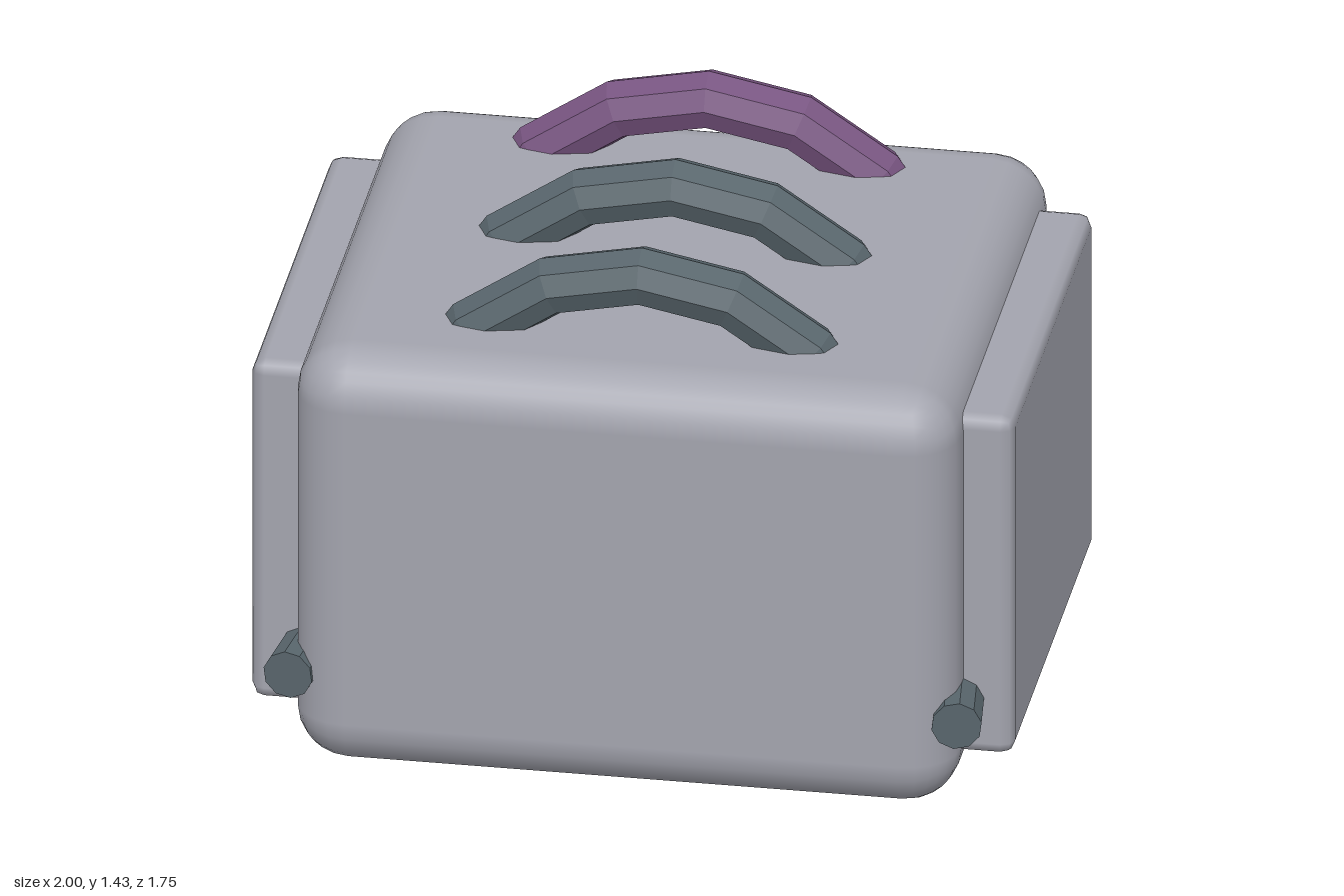
import * as THREE from 'three';
import { RoundedBoxGeometry } from 'three/addons/geometries/RoundedBoxGeometry.js';

const mat = (name, color, flatShading = false) => {
  const m = new THREE.MeshStandardMaterial({ color, flatShading });
  m.name = name;
  return m;
};

export function createModel() {
  const group = new THREE.Group();
  const grey = mat('light grey', 0xa3a4ae);
  const slate = mat('slate', 0x58656c, true);
  const slateSmooth = slate.clone();
  slateSmooth.flatShading = false;
  const purple = mat('purple', 0x775480, true);

  const add = (name, geometry, material, x, y, z) => {
    const mesh = new THREE.Mesh(geometry, material);
    mesh.name = name;
    mesh.position.set(x, y, z);
    group.add(mesh);
    return mesh;
  };

  // rounded body
  add('body', new RoundedBoxGeometry(1.74, 1.19, 1.59, 3, 0.145), grey, 0, 0.595, 0.075);

  // raised side panels
  const panel = new RoundedBoxGeometry(0.3, 0.975, 1.235, 1, 0.035);
  add('leftPanel', panel, grey, 0.85, 0.5975, 0.0775);
  add('rightPanel', panel, grey, -0.85, 0.5975, 0.0775);

  // raised back panel
  add('backPanel', new RoundedBoxGeometry(1.18, 0.665, 0.3, 1, 0.035), slateSmooth, 0, 0.5975, -0.725);

  // splayed rods running through the lower body, front to back
  for (const side of [1, -1]) {
    const front = new THREE.Vector3(side * 0.877, 0.265, 0.843);
    const back = new THREE.Vector3(side * 0.677, 0.265, -0.777);
    const axis = front.clone().sub(back);
    const mid = front.clone().add(back).multiplyScalar(0.5);
    const rod = add(side > 0 ? 'leftRod' : 'rightRod',
      new THREE.CylinderGeometry(0.066, 0.066, axis.length(), 10), slate, mid.x, mid.y, mid.z);
    rod.quaternion.setFromUnitVectors(new THREE.Vector3(0, 1, 0), axis.normalize());
  }

  // faceted arches across the top
  const arch = new THREE.TorusGeometry(0.62, 0.08, 8, 6, Math.PI * 0.75);
  arch.rotateZ(Math.PI / 8);
  add('frontArch', arch, slate, 0, 0.725, 0.54);
  add('middleArch', arch, slate, 0, 0.725, 0.025);
  add('backArch', arch, purple, 0, 0.725, -0.49);

  return group;
}
